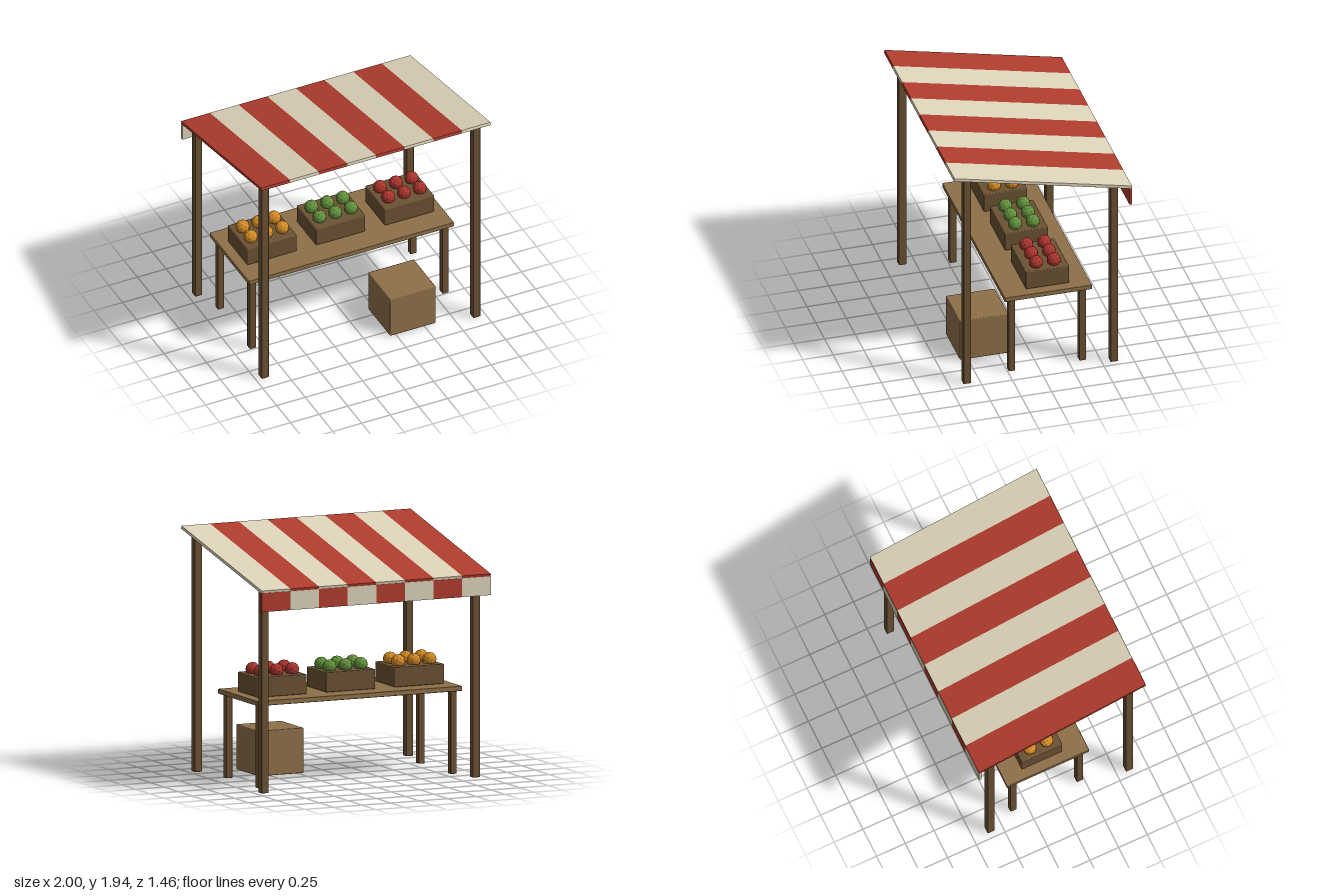
import * as THREE from 'three';
import { RoundedBoxGeometry } from 'three/addons/geometries/RoundedBoxGeometry.js';

const mat = (name, color) => {
  const m = new THREE.MeshStandardMaterial({ color });
  m.name = name;
  return m;
};

export function createModel() {
  const darkWood = mat('darkWood', 0x6b5233);
  const lightWood = mat('lightWood', 0x8f7048);
  const red = mat('redCloth', 0xb03c2e);
  const cream = mat('creamCloth', 0xdcd3b9);
  const fruitColors = [mat('orangeFruit', 0xd48a24), mat('greenFruit', 0x62923c), mat('redFruit', 0xab342c)];
  for (const m of fruitColors) m.flatShading = true;

  const model = new THREE.Group();
  model.name = 'marketStall';
  const add = (parent, name, geometry, material, x, y, z) => {
    const mesh = new THREE.Mesh(geometry, material);
    mesh.name = name;
    mesh.position.set(x, y, z);
    parent.add(mesh);
    return mesh;
  };
  // Timber with slightly softened edges
  const timber = (w, h, d, r = 0.004) => new RoundedBoxGeometry(w, h, d, 1, r);

  const slope = Math.atan2(0.314, 1.45);

  // Posts, rafters and table legs, mirrored left and right
  for (const side of [-1, 1]) {
    const label = side > 0 ? 'left' : 'right';
    add(model, label + 'FrontPost', timber(0.062, 1.885, 0.062), darkWood, side * 0.923, 0.9425, 0.605);
    add(model, label + 'BackPost', timber(0.062, 1.625, 0.062), darkWood, side * 0.923, 0.8125, -0.598);
    const rafter = add(model, label + 'Rafter', timber(0.05, 0.04, 1.23), darkWood, side * 0.923, 1.75, 0.003);
    rafter.rotation.x = -slope;
    for (const z of [0.215, -0.363]) {
      add(model, label + 'TableLeg', timber(0.054, 0.664, 0.054), darkWood, side * 0.84, 0.332, z);
    }
  }

  // Table top and the box on the ground
  add(model, 'tableTop', timber(1.79, 0.04, 0.715, 0.006), lightWood, 0, 0.682, -0.075);
  add(model, 'groundBox', timber(0.4, 0.36, 0.4, 0.008), lightWood, 0.4, 0.18, 0.365);

  // Striped sloping canopy
  const canopy = new THREE.Group();
  canopy.name = 'canopy';
  canopy.position.set(0, 1.774, 0);
  canopy.rotation.x = -slope;
  model.add(canopy);
  // Hanging valance along the low back edge, with the stripes swapped
  const valance = new THREE.Group();
  valance.name = 'valance';
  model.add(valance);
  const stripe = new THREE.BoxGeometry(0.25, 0.025, 1.484);
  const flap = new THREE.BoxGeometry(0.25, 0.15, 0.02);
  for (let i = 0; i < 8; i++) {
    const x = -0.875 + i * 0.25;
    add(canopy, 'canopyStripe', stripe, i % 2 ? cream : red, x, 0, 0);
    add(valance, 'valanceFlap', flap, i % 2 ? red : cream, x, 1.535, -0.717);
  }

  // Three crates, each with two rows of fruit
  const crate = timber(0.433, 0.158, 0.355, 0.008);
  const fruit = new THREE.IcosahedronGeometry(0.056, 1);
  fruitColors.forEach((material, i) => {
    const stand = new THREE.Group();
    stand.name = 'fruitCrate';
    stand.position.set((i - 1) * 0.6, 0, -0.09);
    model.add(stand);
    add(stand, 'crate', crate, darkWood, 0, 0.781, 0);
    for (let col = -1; col <= 1; col++) {
      for (const z of [-0.073, 0.073]) {
        add(stand, 'fruit', fruit, material, col * 0.137, 0.891, z);
      }
    }
  });
  return model;
}
